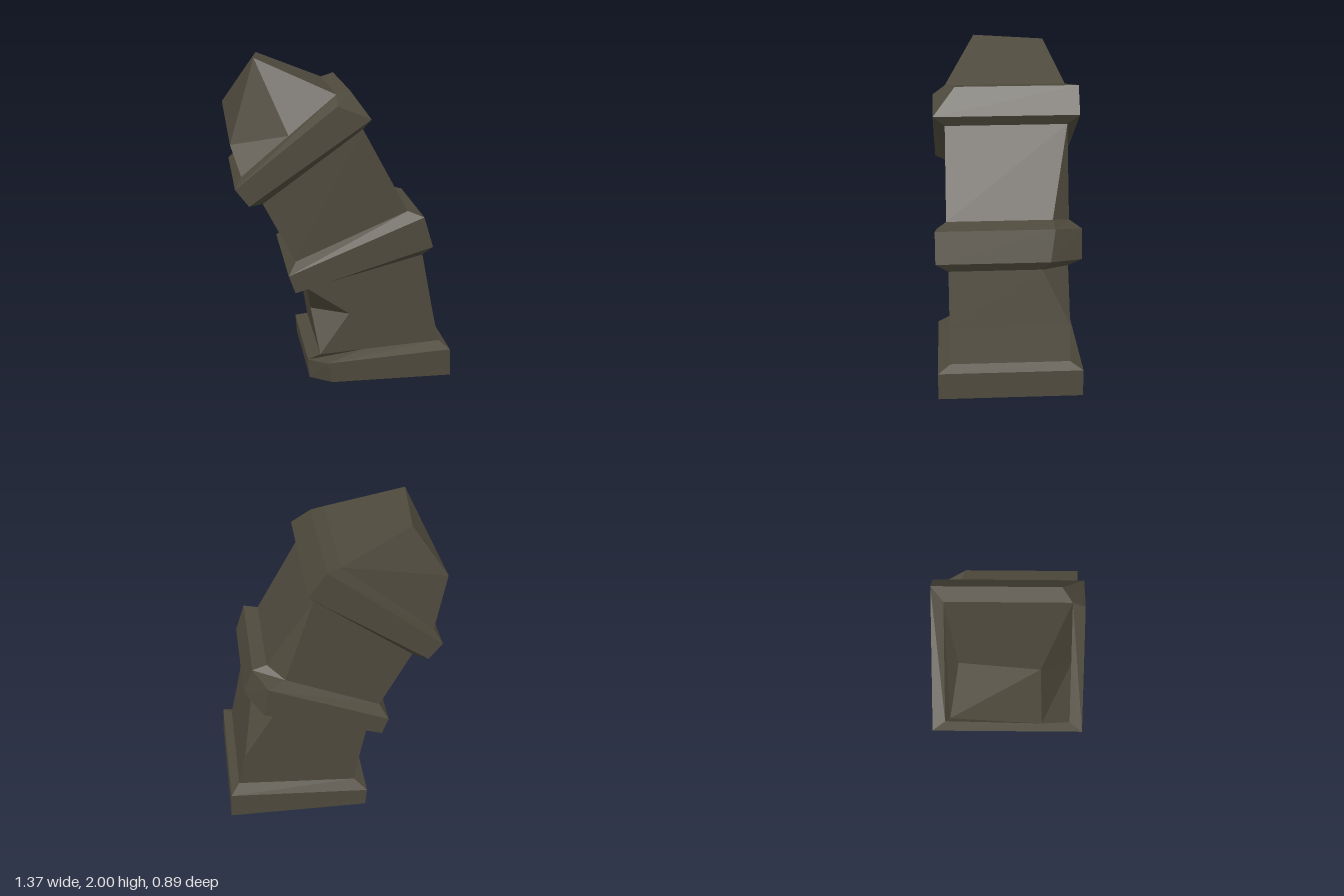
import * as THREE from 'three';

const stone = new THREE.MeshStandardMaterial({ color: 0x4e493c });

// Tilted rectangular section of eight points. L and R are the [x, y] ends of the
// section, hz its half depth; chips maps a corner to [cut across, cut in depth].
function section(L, R, hz, chips = {}) {
  const at = (u, z) => {
    const t = (u + 1) / 2;
    return [L[0] + (R[0] - L[0]) * t, L[1] + (R[1] - L[1]) * t, z];
  };
  const corner = (name, sx, sz) => {
    const [du, dz] = chips[name] || [0, 0];
    return { face: at(sx * (1 - du), sz * hz), side: at(sx, sz * (hz - dz)) };
  };
  const rf = corner('rightFront', 1, 1), rb = corner('rightBack', 1, -1);
  const lb = corner('leftBack', -1, -1), lf = corner('leftFront', -1, 1);
  return [rf.face, rf.side, rb.side, rb.face, lb.face, lb.side, lf.side, lf.face];
}

// Faceted skin through a list of sections, with optional end faces
function loft(name, rings, { bottom = false, top = false } = {}) {
  const pos = [];
  const tri = (a, b, c) => {
    const va = new THREE.Vector3(...a), vb = new THREE.Vector3(...b), vc = new THREE.Vector3(...c);
    if (vb.sub(va).cross(vc.sub(va)).length() > 1e-6) pos.push(...a, ...b, ...c);
  };
  for (let r = 0; r + 1 < rings.length; r++) {
    const lo = rings[r], hi = rings[r + 1], n = lo.length;
    for (let i = 0; i < n; i++) {
      const j = (i + 1) % n;
      tri(lo[i], lo[j], hi[j]);
      tri(lo[i], hi[j], hi[i]);
    }
  }
  const first = rings[0], last = rings[rings.length - 1];
  for (let i = 1; i + 1 < first.length; i++) {
    if (bottom) tri(first[0], first[i + 1], first[i]);
    if (top) tri(last[0], last[i], last[i + 1]);
  }
  const geo = new THREE.BufferGeometry();
  geo.setAttribute('position', new THREE.Float32BufferAttribute(pos, 3));
  geo.computeVertexNormals();
  const mesh = new THREE.Mesh(geo, stone);
  mesh.name = name;
  return mesh;
}

export function createModel() {
  const group = new THREE.Group();
  group.name = 'brokenLeaningPillar';

  // Sections shared by neighbouring parts
  const shaftFoot = section([-0.14, 0.16], [0.615, 0.215], 0.37, { leftFront: [0.72, 0] });
  const shaftHead = section([-0.22, 0.6], [0.5, 0.79], 0.37, { rightBack: [0.35, 0.17] });
  const collarTop = section([-0.29, 0.78], [0.4, 1.075], 0.378, { rightBack: [0.3, 0.11] });
  const neck = section([-0.485, 1.15], [0.12, 1.59], 0.375);
  const capTop = section([-0.61, 1.32], [-0.04, 1.8], 0.37, { leftFront: [1, 0] });

  // Plinth with a knocked-off front corner
  group.add(loft('plinth', [
    section([-0.205, 0], [0.68, 0.008], 0.447, { leftFront: [0.3, 0.1] }),
    section([-0.215, 0.12], [0.672, 0.18], 0.447, { leftFront: [0.25, 0.1] }),
    shaftFoot,
  ], { bottom: true }));

  // Lower shaft with a gouge in its front left edge
  group.add(loft('lowerShaft', [
    shaftFoot,
    section([-0.182, 0.415], [0.567, 0.44], 0.37, { leftFront: [0.6, 0.16] }),
    shaftHead,
  ]));

  // Middle collar, chipped at the back
  group.add(loft('collar', [
    shaftHead,
    section([-0.3, 0.6], [0.548, 0.86], 0.447, { rightBack: [0.25, 0.2] }),
    section([-0.34, 0.71], [0.49, 1.05], 0.447, { rightBack: [0.2, 0.17] }),
    collarTop,
  ]));

  group.add(loft('upperShaft', [collarTop, neck]));

  // Upper band, chipped at the front
  group.add(loft('upperBand', [
    neck,
    section([-0.57, 1.155], [0.16, 1.66], 0.447),
    section([-0.652, 1.26], [0.05, 1.815], 0.447, { rightFront: [0.26, 0.137] }),
    capTop,
  ]));

  // Jagged broken stump
  const rf = capTop[0], rb = capTop[2], mid = capTop[7];
  const backLow = [-0.69, 1.66, -0.32], frontLow = [-0.665, 1.48, 0.2];
  const backPeak = [-0.47, 1.98, -0.265], frontPeak = [-0.512, 2, 0.18];
  group.add(loft('brokenTop', [
    capTop,
    [rf, rf, rb, rb, backLow, backLow, frontLow, mid],
    [rf, rf, rb, rb, backPeak, backPeak, frontPeak, mid],
    [rf, rf, rb, rb, backPeak, backPeak, frontPeak, frontPeak],
  ], { top: true }));

  return group;
}
